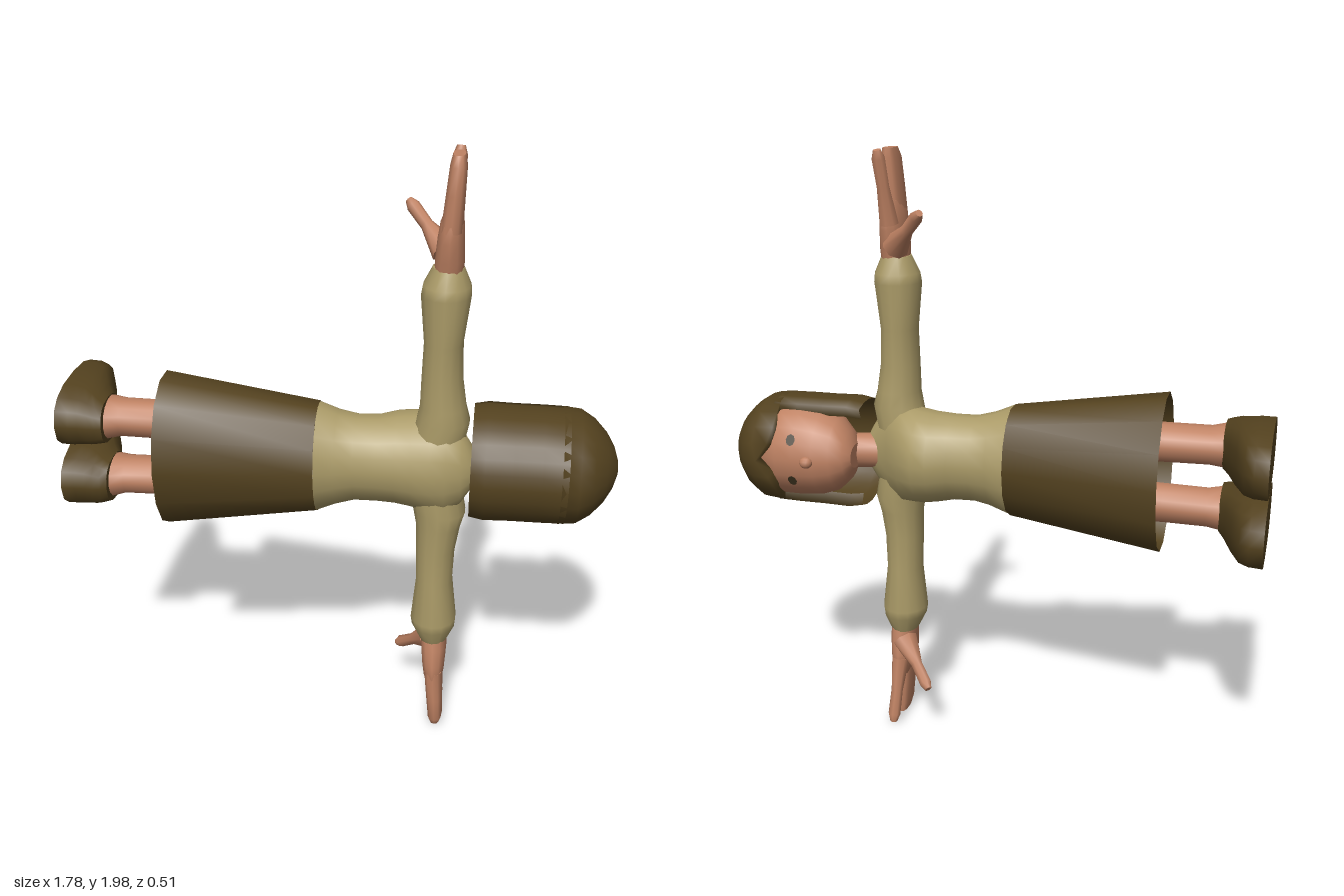
import * as THREE from 'three';

// Stacks elliptical cross-sections [y, rx, rz, cz, cx] into a smooth skin.
// open > 0 leaves a gap at the front (+z) and turns its edges inward.
function loft(rows, { seg = 14, power = 1, open = 0, capLow = true, capHigh = true } = {}) {
  const pos = [], index = [];
  const cols = open ? seg + 1 : seg;
  const pw = (v) => Math.sign(v) * Math.abs(v) ** power;
  const ring = ([y, rx, rz, cz = 0, cx = 0]) => {
    const start = pos.length / 3;
    for (let j = 0; j < cols; j++) {
      let t = (j / seg) * Math.PI * 2, k = 1;
      if (open) {
        const f = THREE.MathUtils.clamp((j - 1) / (seg - 2), 0, 1);
        t = open + f * (Math.PI * 2 - 2 * open);
        if (j === 0 || j === seg) k = 0.78;
      }
      pos.push(cx + k * rx * pw(Math.sin(t)), y, cz + k * rz * pw(Math.cos(t)));
    }
    return start;
  };
  const starts = rows.map(ring);
  for (let i = 0; i < rows.length - 1; i++) {
    for (let j = 0; j < seg; j++) {
      const n = (j + 1) % cols;
      const a = starts[i] + j, b = starts[i] + n, c = starts[i + 1] + n, d = starts[i + 1] + j;
      index.push(a, b, c, a, c, d);
    }
  }
  const cap = (row, up) => {
    const s = ring(row), m = pos.length / 3;
    pos.push(row[4] ?? 0, row[0], row[3] ?? 0);
    for (let j = 0; j < seg; j++) {
      const a = s + j, b = s + ((j + 1) % cols);
      index.push(m, up ? a : b, up ? b : a);
    }
  };
  if (capLow && !open) cap(rows[0], false);
  if (capHigh && !open) cap(rows[rows.length - 1], true);
  const g = new THREE.BufferGeometry();
  g.setAttribute('position', new THREE.Float32BufferAttribute(pos, 3));
  g.setIndex(index);
  g.computeVertexNormals();
  return g;
}

// Tapered round-tipped finger from a to b
function finger(a, b, r0, r1) {
  const from = new THREE.Vector3(...a), dir = new THREE.Vector3(...b).sub(from);
  const L = dir.length();
  const g = loft([[0, r0, r0], [L * 0.5, r1, r1], [L * 0.88, r1 * 1.05, r1 * 1.05], [L, r1 * 0.6, r1 * 0.6]], { seg: 8 });
  g.applyQuaternion(new THREE.Quaternion().setFromUnitVectors(new THREE.Vector3(0, 1, 0), dir.normalize()));
  return g.translate(from.x, from.y, from.z);
}

// Mirrored copy across the body's middle plane
function mirrored(geometry) {
  const g = geometry.clone().scale(-1, 1, 1);
  const ix = g.index.array;
  for (let i = 0; i < ix.length; i += 3) [ix[i + 1], ix[i + 2]] = [ix[i + 2], ix[i + 1]];
  g.computeVertexNormals();
  return g;
}

export function createModel() {
  const material = (name, color, side = THREE.FrontSide) => {
    const m = new THREE.MeshStandardMaterial({ color, side });
    m.name = name;
    return m;
  };
  const brown = material('dark brown', 0x54421f, THREE.DoubleSide);
  const knit = material('khaki knit', 0xab9b68);
  const skin = material('skin', 0xbf8263);
  const dark = material('eye brown', 0x3f3420, THREE.DoubleSide);

  // The body is built upright (y = height, +z = face) and then laid along x
  const body = new THREE.Group();
  body.name = 'figure';
  const add = (name, geometry, mat) => {
    const mesh = new THREE.Mesh(geometry, mat);
    mesh.name = name;
    body.add(mesh);
  };
  const pair = (name, geometry, mat) => {
    add(name + 'A', geometry, mat);
    add(name + 'B', mirrored(geometry), mat);
  };

  // Skirt, open at the hem
  add('skirt', loft([[-0.56, 0.262, 0.2, -0.05], [-0.06, 0.187, 0.147, -0.045]],
    { seg: 14, capLow: false, capHigh: false }), brown);

  // Sweater body with waist, bust and collar
  add('sweater', loft([
    [-0.06, 0.185, 0.145, -0.045], [0, 0.16, 0.132, -0.04], [0.06, 0.145, 0.122, -0.033],
    [0.13, 0.145, 0.127, -0.028], [0.19, 0.153, 0.145, -0.012], [0.24, 0.16, 0.148, -0.015],
    [0.30, 0.168, 0.132, -0.033], [0.35, 0.165, 0.105, -0.055], [0.4, 0.125, 0.08, -0.065],
    [0.43, 0.075, 0.06, -0.06],
  ], { seg: 18 }), knit);
  add('neck', loft([[0.38, 0.06, 0.06, -0.04], [0.5, 0.058, 0.06, 0]]), skin);

  // Sleeves and hands: built along y, then turned sideways
  const sideways = (g) => g.rotateZ(-Math.PI / 2);
  pair('sleeve', sideways(loft([
    [0.08, 0.085, 0.085, -0.05, -0.32], [0.16, 0.085, 0.085, -0.052, -0.335],
    [0.21, 0.073, 0.08, -0.055, -0.333], [0.3, 0.065, 0.075, -0.055, -0.327],
    [0.42, 0.061, 0.077, -0.055, -0.327], [0.57, 0.077, 0.088, -0.055, -0.329],
    [0.6, 0.073, 0.083, -0.055, -0.33], [0.655, 0.047, 0.06, -0.055, -0.332],
  ])), knit);
  pair('palm', sideways(loft([
    [0.63, 0.043, 0.056, -0.055, -0.333], [0.68, 0.044, 0.067, -0.056, -0.335],
    [0.74, 0.04, 0.08, -0.056, -0.336], [0.79, 0.035, 0.08, -0.055, -0.338],
    [0.83, 0.024, 0.064, -0.06, -0.342],
  ], { seg: 12, power: 0.85 })), skin);
  pair('fingers', sideways(loft([
    [0.77, 0.032, 0.056, -0.078, -0.338], [0.88, 0.028, 0.058, -0.079, -0.345],
    [0.96, 0.025, 0.056, -0.078, -0.35], [0.99, 0.018, 0.044, -0.07, -0.35],
  ], { seg: 12, power: 0.75 })), skin);
  pair('indexFinger', sideways(finger([-0.336, 0.76, -0.005], [-0.35, 0.988, 0.048], 0.032, 0.021)), skin);
  pair('thumb', sideways(finger([-0.318, 0.69, -0.01], [-0.198, 0.808, 0.103], 0.045, 0.02)), skin);

  // Legs and shoes
  pair('leg', loft([
    [-0.78, 0.072, 0.092, -0.065, 0.105], [-0.745, 0.07, 0.088, -0.06, 0.105],
    [-0.7, 0.062, 0.073, -0.053, 0.104], [-0.56, 0.063, 0.07, -0.052, 0.102],
    [-0.25, 0.07, 0.075, -0.05, 0.1],
  ]), skin);
  pair('shoe', loft([
    [-0.893, 0.107, 0.218, 0.042, 0.108], [-0.85, 0.107, 0.214, 0.039, 0.108],
    [-0.82, 0.102, 0.203, 0.03, 0.108], [-0.79, 0.094, 0.165, -0.01, 0.108],
    [-0.765, 0.083, 0.125, -0.048, 0.107], [-0.742, 0.073, 0.095, -0.072, 0.106],
  ], { seg: 16, power: 0.8 }), brown);

  // Head, nose and eyes
  add('head', loft([
    [0.455, 0.04, 0.05, 0.05], [0.475, 0.085, 0.085, 0.045], [0.515, 0.125, 0.115, 0.037],
    [0.57, 0.148, 0.14, 0.026], [0.64, 0.16, 0.15, 0.015], [0.7, 0.16, 0.15, 0.015],
    [0.77, 0.13, 0.125, 0.01], [0.82, 0.07, 0.07],
  ], { seg: 18 }), skin);
  add('nose', new THREE.SphereGeometry(1, 10, 8).scale(0.02, 0.022, 0.02).translate(0, 0.585, 0.166), skin);
  pair('eye', new THREE.CircleGeometry(0.02, 8).scale(1, 0.8, 1).rotateY(0.43).translate(0.07, 0.64, 0.157), dark);

  // Hair: long sides and back, then a crown with a parted fringe
  add('hairSides', loft([
    [0.43, 0.18, 0.193, -0.005], [0.475, 0.188, 0.203, -0.004], [0.56, 0.186, 0.2, -0.003],
    [0.65, 0.186, 0.2, -0.002], [0.73, 0.184, 0.2, -0.002],
  ], { seg: 18, open: 1.16 }), brown);
  const crown = loft([
    [0.715, 0.15, 0.15, 0.005], [0.71, 0.186, 0.201, -0.002], [0.765, 0.18, 0.198, -0.001],
    [0.81, 0.152, 0.168], [0.85, 0.11, 0.118], [0.875, 0.068, 0.072], [0.889, 0.025, 0.028],
  ], { seg: 20, capLow: false });
  const p = crown.attributes.position;
  for (let i = 0; i < p.count; i++) {
    // lift the parting and let the points beside it hang
    if (p.getY(i) < 0.72 && p.getZ(i) > 0.1) {
      const x = Math.abs(p.getX(i));
      p.setY(i, x < 0.02 ? 0.75 : x < 0.08 ? 0.712 : 0.7);
    }
  }
  crown.computeVertexNormals();
  add('hairCrown', crown, brown);

  // Lay the figure down: height along +x, face toward -z, arms up and down
  body.quaternion.setFromRotationMatrix(new THREE.Matrix4().makeBasis(
    new THREE.Vector3(0, 1, 0), new THREE.Vector3(1, 0, 0), new THREE.Vector3(0, 0, -1)));
  body.position.set(0, 1, 0);
  const model = new THREE.Group();
  model.name = 'lyingFigure';
  model.add(body);
  return model;
}
